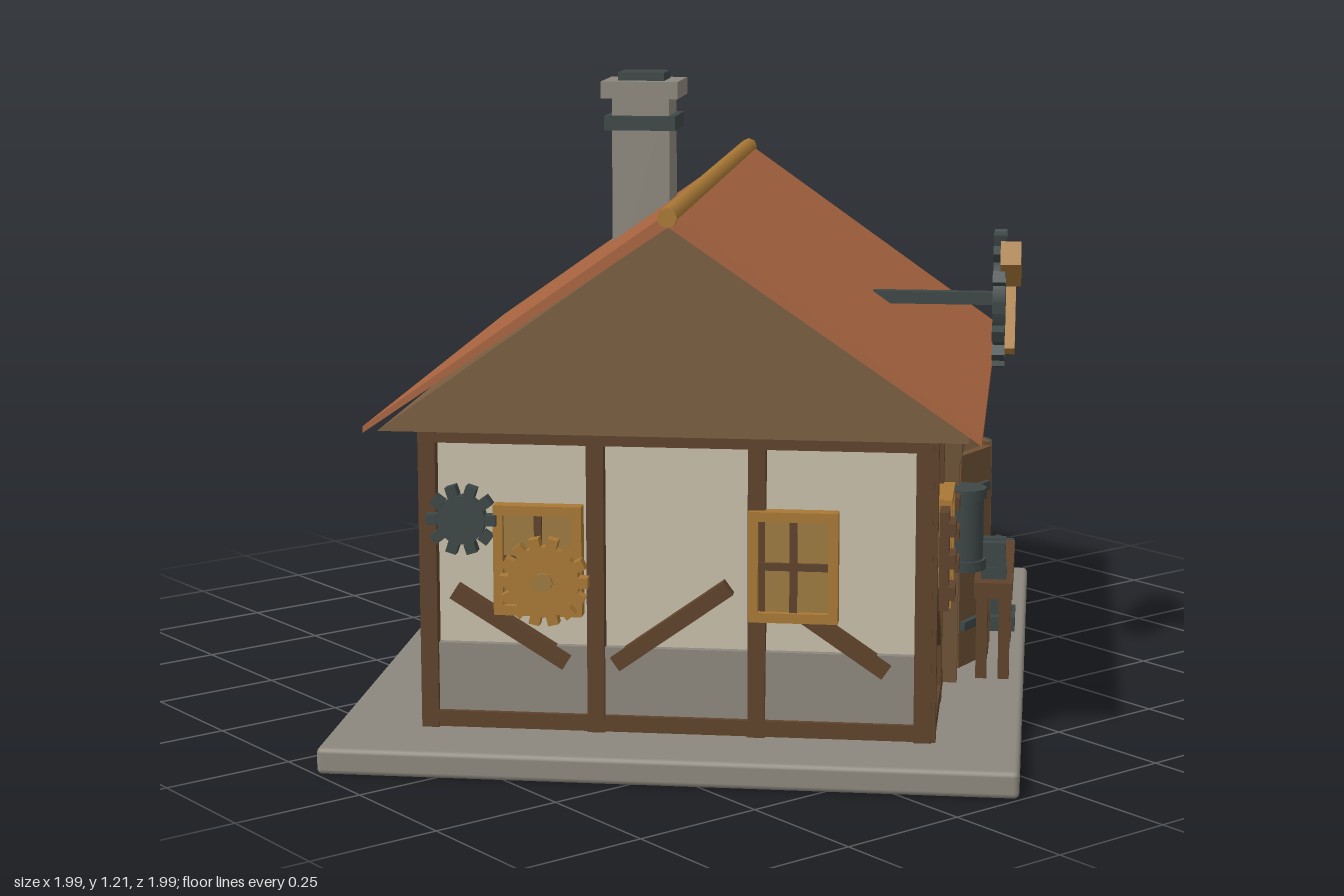
import * as THREE from 'three';
import { RoundedBoxGeometry } from 'three/addons/geometries/RoundedBoxGeometry.js';

const mat = (name, color) => {
  const m = new THREE.MeshStandardMaterial({ color });
  m.name = name;
  return m;
};
const M = {
  stone: mat('stone', 0x8c877d),
  plaster: mat('plaster', 0xc8bea8),
  timber: mat('darkTimber', 0x5e432b),
  roof: mat('roofTile', 0xa8653f),
  gable: mat('gableWood', 0x7a5d40),
  iron: mat('iron', 0x3d4746),
  brass: mat('brass', 0xa87835),
  pane: mat('windowPane', 0x9c7a40),
  door: mat('doorWood', 0x6e5236),
  glow: mat('forgeGlow', 0xd0761e),
};

function add(parent, name, geo, material, x = 0, y = 0, z = 0) {
  const m = new THREE.Mesh(geo, material);
  m.name = name;
  m.position.set(x, y, z);
  parent.add(m);
  return m;
}
const box = (p, name, material, w, h, d, x, y, z) =>
  add(p, name, new THREE.BoxGeometry(w, h, d), material, x, y, z);

function group(parent, name, x = 0, y = 0, z = 0) {
  const g = new THREE.Group();
  g.name = name;
  g.position.set(x, y, z);
  parent.add(g);
  return g;
}

// Beam between two points in a wall plane
function beam(p, name, material, x1, y1, x2, y2, z, t = 0.03, d = 0.03) {
  const b = box(p, name, material, Math.hypot(x2 - x1, y2 - y1), t, d, (x1 + x2) / 2, (y1 + y2) / 2, z);
  b.rotation.z = Math.atan2(y2 - y1, x2 - x1);
}

// Extruded profile centred along x
function prism(p, name, material, pts, length) {
  const geo = new THREE.ExtrudeGeometry(new THREE.Shape(pts.map(a => new THREE.Vector2(...a))),
    { depth: length, bevelEnabled: false });
  geo.translate(0, 0, -length / 2).rotateY(Math.PI / 2);
  add(p, name, geo, material);
}

// Toothed wheel facing +z
function gear(p, name, material, r, toothR, tooth, count, x, y, z, depth = 0.025) {
  const g = group(p, name, x, y, z);
  add(g, 'disc', new THREE.CylinderGeometry(r, r, depth, 24).rotateX(Math.PI / 2), material);
  for (let i = 0; i < count; i++) {
    const a = (i / count) * Math.PI * 2;
    box(g, 'tooth', material, tooth, tooth, depth, Math.cos(a) * toothR, Math.sin(a) * toothR, 0).rotation.z = a;
  }
  return g;
}

function windowUnit(p, x, z) {
  const g = group(p, 'window', x, 0.375, z);
  box(g, 'pane', M.pane, 0.14, 0.18, 0.012, 0, 0, 0);
  for (const s of [-1, 1]) {
    box(g, 'frameSide', M.brass, 0.018, 0.205, 0.03, s * 0.073, 0, 0.005);
    box(g, 'frameRail', M.brass, 0.16, 0.018, 0.03, 0, s * 0.094, 0.005);
  }
  box(g, 'mullion', M.timber, 0.014, 0.17, 0.018, 0, 0, 0.004);
  box(g, 'crossbar', M.timber, 0.13, 0.014, 0.018, 0, 0, 0.004);
  return g;
}

function shutter(p, x, z) {
  const g = group(p, 'shutter', x, 0.375, z);
  box(g, 'panel', M.timber, 0.058, 0.185, 0.018, 0, 0, 0);
  for (const y of [-0.06, 0, 0.06]) box(g, 'slat', M.timber, 0.062, 0.025, 0.014, 0, y, 0.014);
}

// Posts, rails and braces of one framed wall
function framing(p, posts, braces, z, half) {
  for (const x of posts) box(p, 'post', M.timber, 0.032, 0.57, 0.032, x, 0.335, z);
  for (const y of [0.067, 0.605]) box(p, 'rail', M.timber, half * 2, 0.03, 0.03, 0, y, z);
  for (const b of braces) beam(p, 'brace', M.timber, ...b, z);
}

export function createModel() {
  const model = new THREE.Group();
  const house = group(model, 'house');
  house.rotation.y = Math.PI / 4;

  // Base, plinth and walls
  add(house, 'baseSlab', new RoundedBoxGeometry(1.556, 0.05, 1.273, 2, 0.01), M.stone, 0, 0.025, 0);
  box(house, 'plinth', M.stone, 1.22, 0.16, 0.93, 0, 0.13, 0);
  box(house, 'walls', M.plaster, 1.19, 0.58, 0.9, 0, 0.34, 0);

  // Roof: wooden gable core under a tiled shell
  prism(house, 'gableCore', M.gable, [[-0.535, 0.62], [0.535, 0.62], [0, 1.003]], 1.35);
  prism(house, 'roofShell', M.roof,
    [[0.559, 0.618], [0.559, 0.63], [0, 1.026], [-0.559, 0.63], [-0.559, 0.618], [0, 1.0]], 1.372);
  add(house, 'ridgeBeam', new THREE.CylinderGeometry(0.018, 0.018, 1.4, 8).rotateZ(Math.PI / 2),
    M.brass, 0, 1.018, 0);

  // Chimney
  const chimney = group(house, 'chimney', 0.375, 0, -0.19);
  for (const [name, m, w, y0, y1] of [
    ['shaft', M.stone, 0.122, 0.75, 1.16], ['band', M.iron, 0.151, 1.085, 1.115],
    ['cap', M.stone, 0.163, 1.152, 1.188], ['flue', M.iron, 0.098, 1.185, 1.205],
  ]) box(chimney, name, m, w, y1 - y0, w, 0, (y0 + y1) / 2, 0);

  // Front wall
  const front = group(house, 'frontWall');
  framing(front, [-0.6, -0.33, 0, 0.33, 0.6],
    [[-0.55, 0.31, -0.36, 0.18], [0.55, 0.31, 0.36, 0.18]], 0.465, 0.61);
  for (const s of [-1, 1]) {
    windowUnit(front, s * 0.41, 0.482);
    shutter(front, s * 0.525, 0.49);
    shutter(front, s * 0.3, 0.49);
    // Lantern
    const l = group(front, 'lantern', s * 0.24, 0, 0.515);
    add(l, 'body', new THREE.CylinderGeometry(0.04, 0.04, 0.13, 12), M.iron, 0, 0.37, 0);
    for (const y of [0.3, 0.44]) add(l, 'rim', new THREE.CylinderGeometry(0.046, 0.046, 0.02, 12), M.iron, 0, y, 0);
    box(l, 'bracket', M.iron, 0.02, 0.02, 0.06, 0, 0.44, -0.03);
  }

  // Doorway with two leaves standing ajar
  const door = group(front, 'doorway');
  box(door, 'glow', M.glow, 0.4, 0.45, 0.02, 0, 0.28, 0.48);
  for (const s of [-1, 1]) {
    box(door, 'jamb', M.door, 0.035, 0.47, 0.05, s * 0.208, 0.29, 0.482);
    const leaf = group(door, 'doorLeaf', s * 0.077, 0.275, 0.528);
    leaf.rotation.y = s * 0.46;
    box(leaf, 'panel', M.door, 0.128, 0.43, 0.018, 0, 0, 0);
    for (const y of [-0.13, 0.01, 0.14]) box(leaf, 'strap', M.iron, 0.1, 0.018, 0.012, s * 0.01, y, 0.014);
    add(leaf, 'handle', new THREE.SphereGeometry(0.011, 10, 8), M.iron, -s * 0.045, -0.04, 0.018);
  }
  box(door, 'lintel', M.door, 0.46, 0.035, 0.055, 0, 0.52, 0.484);

  // Workbench with vise
  const bench = group(front, 'workbench', 0, 0, 0.575);
  box(bench, 'top', M.timber, 0.38, 0.032, 0.075, 0, 0.232, 0);
  for (const x of [-0.16, 0.12]) for (const z of [-0.022, 0.022])
    box(bench, 'leg', M.timber, 0.022, 0.17, 0.022, x, 0.135, z);
  box(bench, 'viseBase', M.iron, 0.07, 0.025, 0.05, -0.12, 0.258, 0);
  for (const x of [-0.14, -0.1]) box(bench, 'viseJaw', M.iron, 0.025, 0.06, 0.045, x, 0.29, 0);
  add(bench, 'viseScrew', new THREE.CylinderGeometry(0.008, 0.008, 0.09, 8).rotateZ(Math.PI / 2), M.iron, -0.08, 0.28, 0);

  // Anvil
  const anvil = group(front, 'anvil', 0.24, 0, 0.575);
  box(anvil, 'foot', M.iron, 0.11, 0.03, 0.08, 0, 0.068, 0);
  box(anvil, 'waist', M.iron, 0.065, 0.11, 0.05, 0, 0.13, 0);
  box(anvil, 'face', M.iron, 0.12, 0.045, 0.07, 0, 0.205, 0);
  add(anvil, 'horn', new THREE.CylinderGeometry(0.012, 0.024, 0.075, 10).rotateZ(-Math.PI / 2), M.iron, 0.092, 0.207, 0);

  // Wheel sign with crossed hammer above the eave
  const sign = gear(front, 'wheelSign', M.iron, 0.095, 0.125, 0.023, 14, 0, 0.785, 0.575);
  beam(sign, 'hammerHandle', M.brass, -0.075, -0.095, 0.07, 0.095, 0.022, 0.024, 0.02);
  beam(sign, 'hammerHead', M.brass, -0.115, 0.105, -0.02, 0.05, 0.022, 0.05, 0.04);
  box(sign, 'signArm', M.iron, 0.025, 0.025, 0.25, 0, 0, -0.13);

  // Left gable wall
  const side = group(house, 'leftWall');
  side.rotation.y = -Math.PI / 2;
  framing(side, [-0.457, -0.145, 0.152, 0.457],
    [[-0.41, 0.31, -0.2, 0.18], [-0.11, 0.18, 0.1, 0.33], [0.17, 0.33, 0.39, 0.18]], 0.605, 0.472);
  for (const x of [-0.25, 0.22]) windowUnit(side, x, 0.615);
  gear(side, 'smallWheel', M.iron, 0.045, 0.055, 0.02, 10, -0.39, 0.45, 0.63);
  const brassWheel = gear(side, 'brassWheel', M.brass, 0.066, 0.072, 0.02, 14, -0.235, 0.342, 0.648);
  add(brassWheel, 'hub', new THREE.CylinderGeometry(0.018, 0.018, 0.04, 12).rotateX(Math.PI / 2), M.pane);

  return model;
}
